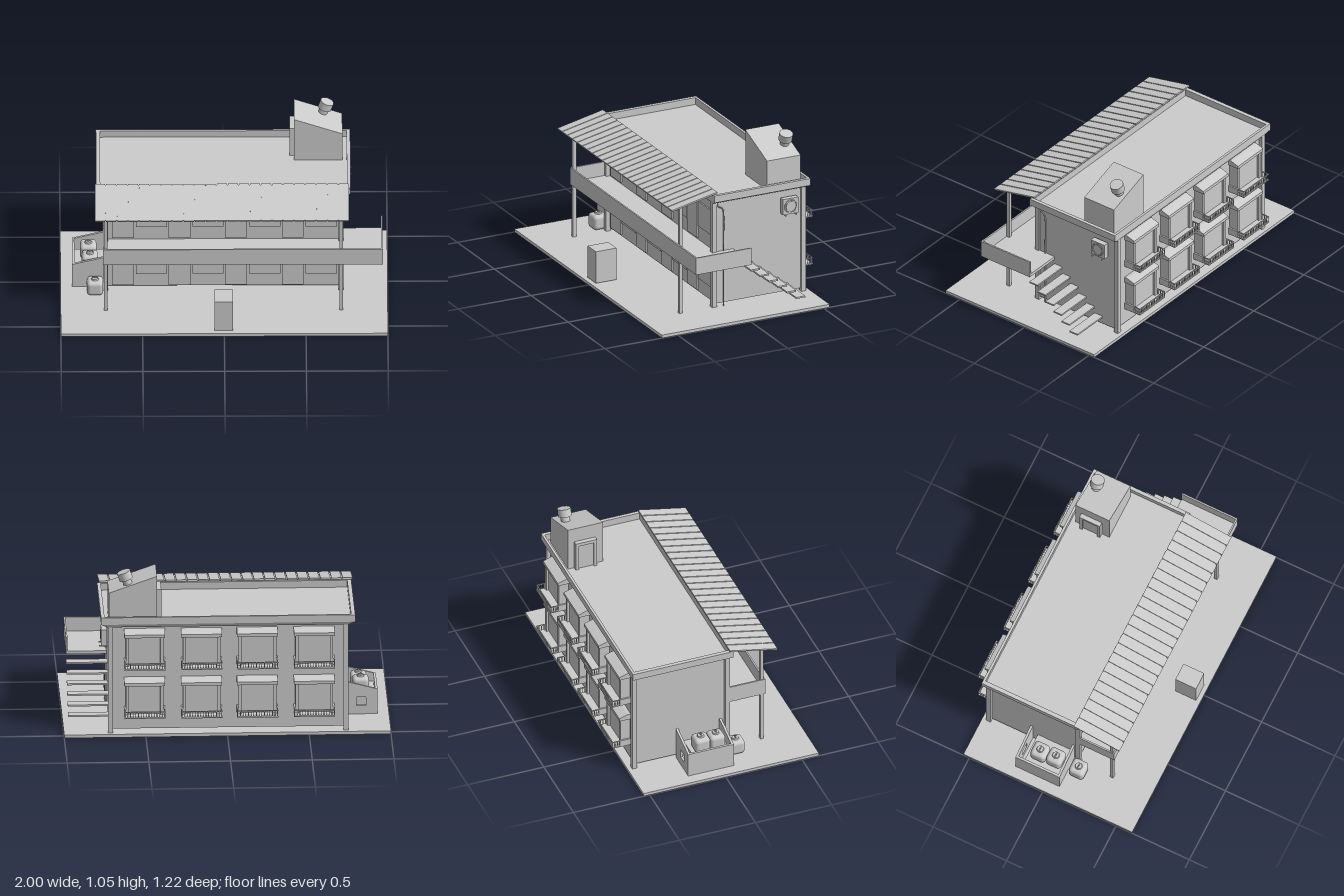
import * as THREE from 'three';
import { RoundedBoxGeometry } from 'three/addons/geometries/RoundedBoxGeometry.js';

const grey = new THREE.MeshStandardMaterial({ color: 0xcccccc, side: THREE.DoubleSide });

function add(parent, name, geometry) {
  const mesh = new THREE.Mesh(geometry, grey);
  mesh.name = name;
  parent.add(mesh);
  return mesh;
}

// Box given by its lower and upper limits on each axis
function box(parent, name, x0, x1, y0, y1, z0, z1) {
  const mesh = add(parent, name, new THREE.BoxGeometry(x1 - x0, y1 - y0, z1 - z0));
  mesh.position.set((x0 + x1) / 2, (y0 + y1) / 2, (z0 + z1) / 2);
  return mesh;
}

// Outline in x and y, extruded from z0 to z1
function prism(parent, name, points, z0, z1, hole) {
  const shape = new THREE.Shape(points.map(p => new THREE.Vector2(...p)));
  if (hole) shape.holes.push(new THREE.Path(hole.map(p => new THREE.Vector2(...p))));
  const geometry = new THREE.ExtrudeGeometry(shape, { depth: z1 - z0, bevelEnabled: false });
  geometry.translate(0, 0, z0);
  return add(parent, name, geometry);
}

function group(parent, name) {
  const g = new THREE.Group();
  g.name = name;
  parent.add(g);
  return g;
}

function addHouse(root) {
  const g = group(root, 'house');
  box(g, 'walls', -0.72, 0.72, 0.04, 0.715, -0.49, 0.1);
  for (const x of [-0.725, 0.715])
    for (const z of [-0.498, 0.112]) box(g, 'cornerColumn', x - 0.015, x + 0.015, 0.02, 0.715, z - 0.015, z + 0.015);

  // Cornice: sloped underside, then a rim around the sunken flat roof
  const bevel = new THREE.BoxGeometry(1.556, 0.02, 0.658);
  const p = bevel.attributes.position;
  for (let i = 0; i < p.count; i++)
    if (p.getY(i) < 0) p.setXYZ(i, p.getX(i) * 0.95, p.getY(i), p.getZ(i) * 0.97);
  bevel.computeVertexNormals();
  add(g, 'corniceUnderside', bevel).position.set(-0.004, 0.715, -0.195);
  box(g, 'roofRimFront', -0.782, 0.774, 0.725, 0.77, 0.114, 0.134);
  box(g, 'roofRimBack', -0.782, 0.774, 0.725, 0.77, -0.524, -0.508);
  box(g, 'roofRimRight', -0.782, -0.757, 0.725, 0.77, -0.508, 0.114);
  box(g, 'roofRimLeft', 0.752, 0.774, 0.725, 0.77, -0.508, 0.114);

  // Doors and windows on the front of both floors
  for (const y of [0, 0.343])
    for (let i = 0; i < 4; i++) {
      const x = -0.685 + i * 0.346;
      box(g, 'door', x, x + 0.133, y + 0.05, y + 0.31, 0.095, 0.11);
      box(g, 'frontWindow', x + 0.145, x + 0.337, y + 0.13, y + 0.293, 0.095, 0.108);
    }
}

// Back window with hood, jambs and a railed ledge
function addBackWindow(root, x, y) {
  const g = group(root, 'backWindow');
  box(g, 'pane', -0.1, 0.1, 0.01, 0.2, -0.54, -0.485);
  for (const s of [-1, 1]) box(g, 'jamb', s * 0.105 - 0.01, s * 0.105 + 0.01, 0, 0.2, -0.555, -0.485);
  const hood = prism(g, 'hood', [[0.485, 0.195], [0.565, 0.195], [0.565, 0.215], [0.51, 0.233], [0.485, 0.233]], -0.125, 0.125);
  hood.rotation.y = Math.PI / 2;
  box(g, 'ledge', -0.125, 0.125, 0, 0.008, -0.61, -0.49);
  for (const s of [-1, 1]) {
    box(g, 'ledgeCheek', s * 0.12 - 0.005, s * 0.12 + 0.005, 0, 0.045, -0.562, -0.485);
    box(g, 'sideRail', s * 0.122 - 0.003, s * 0.122 + 0.003, 0.04, 0.046, -0.61, -0.56);
    for (const z of [-0.577, -0.592]) box(g, 'sideBar', s * 0.122 - 0.002, s * 0.122 + 0.002, 0.008, 0.04, z - 0.002, z + 0.002);
  }
  box(g, 'rail', -0.125, 0.125, 0.04, 0.046, -0.61, -0.604);
  for (let i = 0; i < 16; i++) {
    const bx = -0.122 + i * 0.244 / 15;
    box(g, 'railBar', bx - 0.002, bx + 0.002, 0.008, 0.04, -0.609, -0.605);
  }
  g.position.set(x, y, 0);
}

function addBalconyAndStairs(root) {
  const g = group(root, 'balcony');
  box(g, 'deck', -0.74, 0.97, 0.36, 0.38, 0.1, 0.36);
  box(g, 'landing', 0.722, 0.97, 0.36, 0.38, -0.018, 0.1);
  box(g, 'frontParapet', -0.74, 0.97, 0.36, 0.47, 0.35, 0.36);
  box(g, 'rightParapet', -0.74, -0.73, 0.36, 0.47, 0.1, 0.35);
  box(g, 'leftParapet', 0.96, 0.97, 0.36, 0.47, -0.018, 0.35);
  for (const x of [-0.725, 0.715]) box(g, 'post', x - 0.011, x + 0.011, 0.02, 0.735, 0.329, 0.351);
  for (let i = 0; i < 6; i++) {
    const z = -0.016 - i * 0.062, y = 0.322 - i * 0.047;
    box(g, 'stairTread', 0.72, 0.97, y - 0.005, y + 0.005, z - 0.062, z);
  }
}

function addAwning(root) {
  const g = group(root, 'awning');
  box(g, 'sheet', -0.78, 0.76, -0.006, -0.001, -0.155, 0.15);
  for (let i = 0; i < 23; i++) {
    const x = -0.79 + i * 0.0678;
    box(g, 'slat', x, x + 0.061, -0.004, 0.005, -0.159, 0.159);
  }
  g.position.set(0, 0.75, 0.264);
  g.rotation.x = Math.atan2(0.066, 0.31);
}

function addRoofHouse(root) {
  const g = group(root, 'roofHouse');
  prism(g, 'body', [[0.43, 0.72], [0.725, 0.72], [0.725, 0.915], [0.43, 1.02]], -0.48, -0.25);
  // Door with a surround, on the right side
  box(g, 'doorPanel', 0.415, 0.43, 0.72, 0.9, -0.42, -0.32);
  for (const z of [-0.43, -0.31]) box(g, 'doorJamb', 0.402, 0.43, 0.72, 0.9, z - 0.01, z + 0.01);
  box(g, 'doorLintel', 0.402, 0.43, 0.9, 0.922, -0.44, -0.3);
  // Vent standing square to the sloped roof
  const vent = group(g, 'vent');
  add(vent, 'ventStem', new THREE.CylinderGeometry(0.028, 0.028, 0.06, 24)).position.y = 0.01;
  add(vent, 'ventCap', new THREE.CylinderGeometry(0.042, 0.042, 0.05, 24)).position.y = 0.058;
  vent.position.set(0.606, 0.957, -0.428);
  vent.rotation.z = -Math.atan2(0.105, 0.295);
}

function addSideFittings(root) {
  const g = group(root, 'airConditioner');
  box(g, 'case', 0.735, 0.77, 0.56, 0.662, -0.442, -0.336);
  const ring = add(g, 'fanRing', new THREE.TorusGeometry(0.04, 0.003, 8, 32));
  ring.position.set(0.77, 0.611, -0.389);
  ring.rotation.y = Math.PI / 2;
  const fan = add(g, 'fanDisc', new THREE.CylinderGeometry(0.032, 0.032, 0.006, 32));
  fan.position.set(0.77, 0.611, -0.389);
  fan.rotation.z = Math.PI / 2;
  for (const z of [-0.425, -0.353]) box(g, 'bracket', 0.715, 0.782, 0.552, 0.56, z - 0.003, z + 0.003);

  // Drain pipe with a bend under the cornice
  const path = new THREE.CatmullRomCurve3([[0.715, 0.095], [0.68, 0.09], [0.67, 0.075], [0.658, 0.056], [0.63, 0.05], [0.4, 0.05], [0.02, 0.05]]
    .map(([y, z]) => new THREE.Vector3(0.727, y, z)), false, 'centripetal');
  add(root, 'drainPipe', new THREE.TubeGeometry(path, 50, 0.004, 8));
}

// Rounded tank with collar and handle
function addTank(root, x, y, z) {
  const g = group(root, 'tank');
  add(g, 'tankBody', new RoundedBoxGeometry(0.1, 0.095, 0.1, 5, 0.024)).position.y = 0.0475;
  add(g, 'collar', new THREE.CylinderGeometry(0.02, 0.024, 0.012, 20)).position.y = 0.098;
  add(g, 'valve', new THREE.CylinderGeometry(0.005, 0.005, 0.02, 10)).position.y = 0.106;
  add(g, 'handle', new THREE.TorusGeometry(0.018, 0.003, 8, 16, Math.PI)).position.y = 0.094;
  g.position.set(x, y, z);
}

function addTankShed(root) {
  const g = group(root, 'tankShed');
  const outline = [[-0.93, 0.02], [-0.72, 0.02], [-0.72, 0.235], [-0.93, 0.18]];
  prism(g, 'backWall', outline, -0.22, -0.205, [[-0.86, 0.075], [-0.86, 0.13], [-0.8, 0.13], [-0.8, 0.075]]);
  prism(g, 'frontWall', outline, 0.065, 0.08);
  box(g, 'outerWall', -0.93, -0.915, 0.02, 0.182, -0.205, 0.065);
  box(g, 'shelf', -0.915, -0.72, 0.02, 0.13, -0.17, 0.065);
  addTank(g, -0.83, 0.13, -0.1);
  addTank(g, -0.82, 0.12, 0.002);
}

export function createModel() {
  const root = new THREE.Group();
  root.name = 'building';
  box(root, 'ground', -1, 1, 0, 0.02, -0.54, 0.61);
  addHouse(root);
  for (const x of [-0.53, -0.182, 0.16, 0.508])
    for (const y of [0.142, 0.455]) addBackWindow(root, x, y);
  addBalconyAndStairs(root);
  addAwning(root);
  addRoofHouse(root);
  addSideFittings(root);
  addTankShed(root);
  addTank(root, -0.79, 0.02, 0.142);
  box(root, 'frontBlock', -0.06, 0.053, 0.025, 0.232, 0.442, 0.583);
  return root;
}
